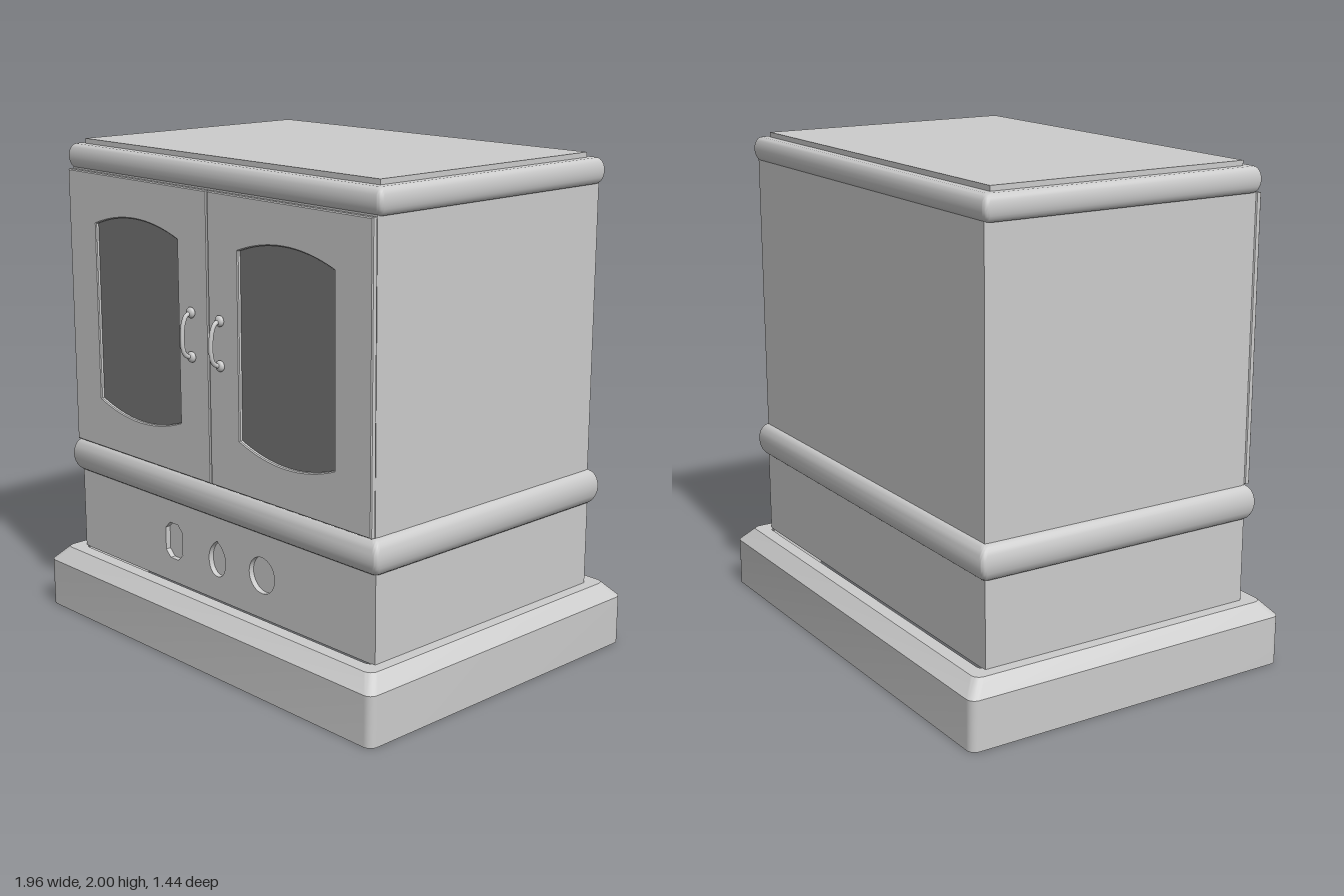
import * as THREE from 'three';
import { toCreasedNormals } from 'three/addons/utils/BufferGeometryUtils.js';

const grey = new THREE.MeshStandardMaterial({ color: 0xcccccc, side: THREE.DoubleSide });
const glass = new THREE.MeshStandardMaterial({ color: 0x777777, side: THREE.DoubleSide });

function add(parent, name, geometry, x = 0, y = 0, z = 0, material = grey) {
  const mesh = new THREE.Mesh(geometry, material);
  mesh.name = name;
  mesh.position.set(x, y, z);
  parent.add(mesh);
  return mesh;
}

// Sweeps a profile of [outset, y] points around a rounded rectangle
function rectSweep(halfX, halfZ, radius, profile) {
  const pos = [], index = [], steps = 6, n = 4 * (steps + 1);
  for (const [out, y] of profile) {
    for (let c = 0; c < 4; c++) {
      const sx = c === 0 || c === 3 ? 1 : -1, sz = c < 2 ? 1 : -1;
      for (let s = 0; s <= steps; s++) {
        const a = (c + s / steps) * Math.PI / 2;
        pos.push(sx * (halfX + out - radius) + radius * Math.cos(a), y,
          sz * (halfZ + out - radius) + radius * Math.sin(a));
      }
    }
  }
  for (let r = 0; r < profile.length - 1; r++) {
    for (let i = 0; i < n; i++) {
      const a = r * n + i, b = r * n + (i + 1) % n;
      index.push(a, a + n, b, b, a + n, b + n);
    }
  }
  const geo = new THREE.BufferGeometry();
  geo.setAttribute('position', new THREE.Float32BufferAttribute(pos, 3));
  geo.setIndex(index);
  return toCreasedNormals(geo, 0.6);
}

// Half-round moulding profile between two heights
function bulge(y0, y1, depth) {
  const pts = [];
  for (let i = 0; i <= 12; i++) {
    const a = -Math.PI / 2 + Math.PI * i / 12;
    pts.push([depth * Math.cos(a), (y0 + y1) / 2 + (y1 - y0) / 2 * Math.sin(a)]);
  }
  return pts;
}

function polygon(Type, points) {
  return new Type(points.map(([x, y]) => new THREE.Vector2(x, y)));
}

// Window outline with arched top and bottom
function windowOutline(Type, x0, x1) {
  const p = new Type(), m = (x0 + x1) / 2;
  p.moveTo(x0, 0.95);
  p.quadraticCurveTo(m, 0.85, x1, 0.95);
  p.lineTo(x1, 1.675);
  p.quadraticCurveTo(m, 1.77, x0, 1.675);
  p.closePath();
  return p;
}

// Outlines of the three recesses in the plinth panel
const recesses = [
  (Type) => {
    const x = -0.27, y = 0.43, w = 0.053, h = 0.075, c = 0.028;
    return polygon(Type, [[x - w + c, y - h], [x + w - c, y - h], [x + w, y - h + c], [x + w, y + h - c],
      [x + w - c, y + h], [x - w + c, y + h], [x - w, y + h - c], [x - w, y - h + c]]);
  },
  (Type) => {
    const p = new Type();
    p.moveTo(0, 0.5);
    p.bezierCurveTo(-0.03, 0.48, -0.05, 0.455, -0.05, 0.42);
    p.bezierCurveTo(-0.05, 0.38, -0.03, 0.353, 0, 0.353);
    p.bezierCurveTo(0.03, 0.353, 0.05, 0.38, 0.05, 0.42);
    p.bezierCurveTo(0.05, 0.455, 0.03, 0.48, 0, 0.5);
    return p;
  },
  (Type) => {
    const p = new Type();
    p.absarc(0.265, 0.43, 0.073, 0, Math.PI * 2, false);
    return p;
  },
];

function makeHandle() {
  const handle = new THREE.Group();
  const curve = new THREE.CatmullRomCurve3([[0.085, 0.62], [0.08, 0.65], [0.055, 0.665], [0.02, 0.672],
    [-0.04, 0.672], [-0.07, 0.662], [-0.083, 0.645], [-0.085, 0.62]]
    .map(([y, z]) => new THREE.Vector3(0, y, z)));
  add(handle, 'handleBar', new THREE.TubeGeometry(curve, 40, 0.009, 10));
  for (const s of [-1, 1]) {
    const knob = add(handle, 'handleMount', new THREE.SphereGeometry(0.022, 16, 12), 0, s * 0.087, 0.63);
    knob.scale.z = 0.6;
  }
  return handle;
}

export function createModel() {
  const stove = new THREE.Group();
  stove.name = 'stove';

  // Hollow base skirt with sloped shoulder
  add(stove, 'base', rectSweep(0.86, 0.6, 0.035,
    [[0.12, 0], [0.12, 0.2], [0.067, 0.258], [0.012, 0.258]]));

  // Plinth walls, open underneath
  add(stove, 'plinthBack', new THREE.BoxGeometry(1.76, 0.35, 0.012), 0, 0.43, -0.592);
  for (const s of [-1, 1]) {
    add(stove, 'plinthSide', new THREE.BoxGeometry(0.012, 0.35, 1.196), s * 0.874, 0.43, 0);
  }
  const front = polygon(THREE.Shape, [[-0.88, 0.255], [0.88, 0.255], [0.88, 0.605], [-0.88, 0.605]]);
  front.holes = recesses.map((make) => make(THREE.Path));
  add(stove, 'plinthFront',
    new THREE.ExtrudeGeometry(front, { depth: 0.025, bevelEnabled: false, curveSegments: 24 }), 0, 0, 0.573);
  for (const make of recesses) {
    add(stove, 'recessBack', new THREE.ShapeGeometry(make(THREE.Shape), 24), 0, 0, 0.576);
  }

  // Mouldings, firebox and top
  add(stove, 'middleMoulding', rectSweep(0.878, 0.596, 0.02, bulge(0.6, 0.738, 0.036)));
  add(stove, 'firebox', new THREE.BoxGeometry(1.75, 1.155, 1.194), 0, 1.3125, 0);
  add(stove, 'topMoulding', rectSweep(0.876, 0.586, 0.02, [...bulge(1.88, 1.98, 0.024), [-0.05, 1.98]]));
  add(stove, 'topPlate', new THREE.BoxGeometry(1.69, 0.04, 1.11), 0, 1.98, 0);

  // Doors, panes and handles
  for (const s of [-1, 1]) {
    const door = new THREE.Group();
    door.name = s > 0 ? 'leftDoor' : 'rightDoor';
    stove.add(door);
    const [x0, x1] = s > 0 ? [0.002, 0.878] : [-0.878, -0.002];
    const [w0, w1] = s > 0 ? [0.175, 0.69] : [-0.7, -0.18];
    const panel = polygon(THREE.Shape, [[x0, 0.74], [x1, 0.74], [x1, 1.88], [x0, 1.88]]);
    panel.holes.push(windowOutline(THREE.Path, w0, w1));
    add(door, 'doorPanel', new THREE.ExtrudeGeometry(panel, { depth: 0.016, bevelThickness: 0.004,
      bevelSize: 0.004, bevelOffset: -0.004, bevelSegments: 1, curveSegments: 24 }), 0, 0, 0.602);
    add(door, 'windowPane', new THREE.ShapeGeometry(windowOutline(THREE.Shape, w0, w1), 24), 0, 0, 0.608, glass);
    const handle = makeHandle();
    handle.name = 'doorHandle';
    handle.position.set(s > 0 ? 0.075 : -0.095, s > 0 ? 1.312 : 1.318, 0);
    door.add(handle);
  }
  return stove;
}
